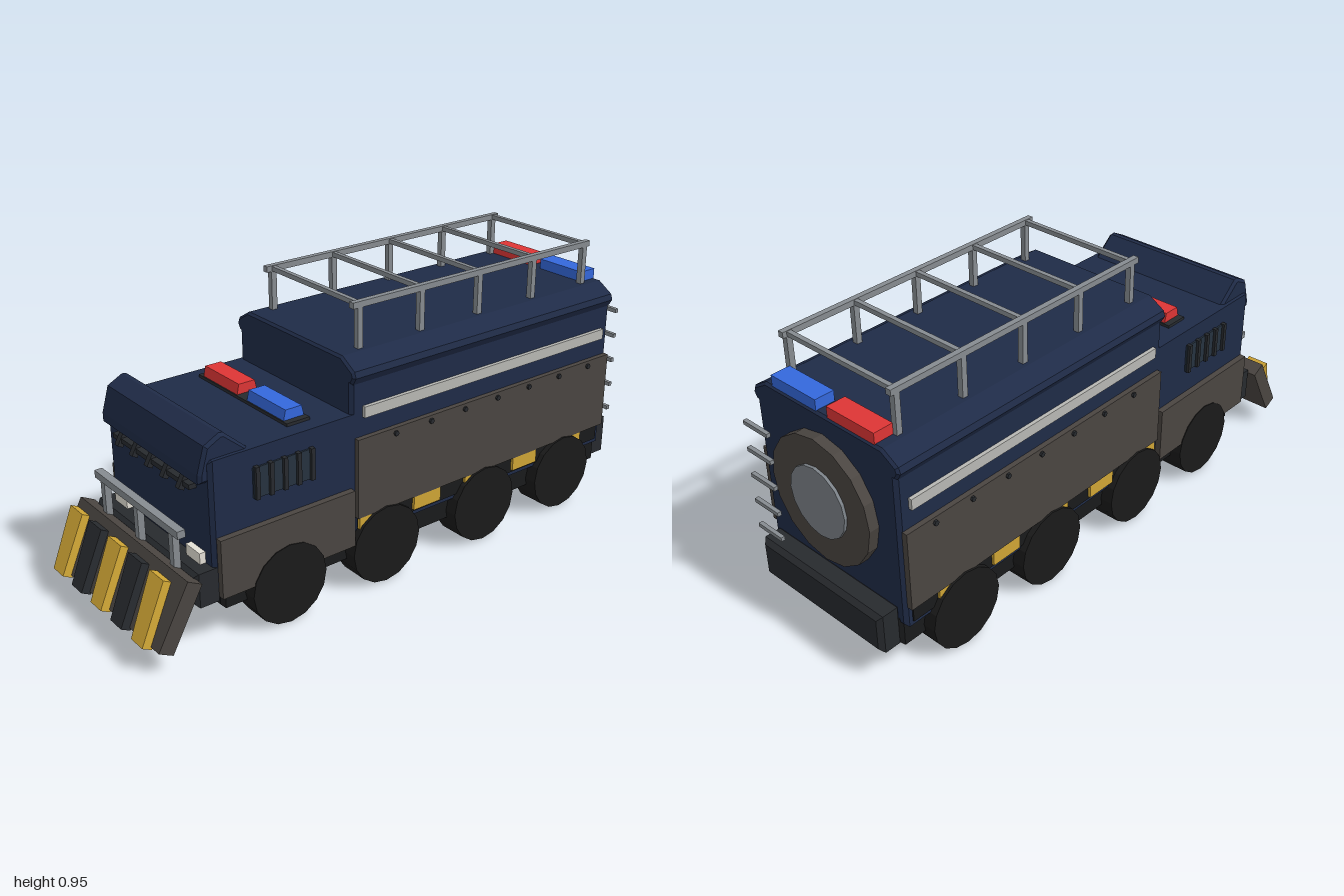
import * as THREE from 'three';

const mat = (color) => new THREE.MeshStandardMaterial({ color, flatShading: true });

export function createModel() {
  const model = new THREE.Group();
  const M = {
    navy: mat(0x1f2b47), armour: mat(0x4a4541), black: mat(0x191a1b), dark: mat(0x272a2e),
    steel: mat(0x868b90), pale: mat(0xb8b8b4), yellow: mat(0xcfa535), red: mat(0xdd3535),
    blue: mat(0x3468dc), lamp: mat(0xe4e0d6), glass: mat(0x26323f), tyre: mat(0x1a1a1a), hub: mat(0x7b8187),
  };
  const add = (name, geo, m, parent = model) => {
    const mesh = new THREE.Mesh(geo, m);
    mesh.name = name;
    parent.add(mesh);
    return mesh;
  };
  // Plain box from its min and max on each axis
  const box = (name, m, x0, x1, y0, y1, z0, z1, parent) => {
    const mesh = add(name, new THREE.BoxGeometry(x1 - x0, y1 - y0, z1 - z0), m, parent);
    mesh.position.set((x0 + x1) / 2, (y0 + y1) / 2, (z0 + z1) / 2);
    return mesh;
  };
  // Outline extruded along z and centred, with chamfer b growing inside the depth
  const prism = (pts, depth, b = 0) => {
    const shape = new THREE.Shape(pts.map((p) => new THREE.Vector2(p[0], p[1])));
    const g = new THREE.ExtrudeGeometry(shape, {
      depth: depth - 2 * b, bevelEnabled: b > 0, bevelSize: b, bevelOffset: -b, bevelThickness: b, bevelSegments: 1,
    });
    return g.translate(0, 0, -(depth - 2 * b) / 2);
  };
  // Side outline given as [z, y], extruded across the width
  const sidePrism = (pts, width, b) => prism(pts, width, b).rotateY(-Math.PI / 2);
  // Box with chamfered edges
  const chamferBox = (name, m, x0, x1, y0, y1, z0, z1, b = 0.012) => {
    const w = (x1 - x0) / 2, h = (y1 - y0) / 2;
    const mesh = add(name, prism([[-w, -h], [w, -h], [w, h], [-w, h]], z1 - z0, b), m);
    mesh.position.set((x0 + x1) / 2, (y0 + y1) / 2, (z0 + z1) / 2);
    return mesh;
  };

  // Hull
  chamferBox('chassis', M.black, -0.28, 0.28, 0.11, 0.22, -0.93, 0.72);
  chamferBox('rearBody', M.navy, -0.3, 0.3, 0.19, 0.76, -0.925, 0.245);
  add('roof', prism([[-0.3, 0.72], [0.3, 0.72], [0.315, 0.745], [0.308, 0.765], [0.25, 0.8],
    [-0.25, 0.8], [-0.308, 0.765], [-0.315, 0.745]], 1.17, 0.008), M.navy).position.z = -0.34;
  chamferBox('cab', M.navy, -0.3, 0.3, 0.19, 0.622, 0.22, 0.755);

  // Windscreen hood with a lamp bar below
  add('hood', sidePrism([[0.6, 0.61], [0.74, 0.55], [0.782, 0.55], [0.782, 0.58], [0.757, 0.665],
    [0.705, 0.692], [0.69, 0.69]], 0.575, 0.01), M.navy);
  box('lampBar', M.dark, -0.225, 0.225, 0.512, 0.528, 0.755, 0.78);
  for (let i = -2; i <= 2; i++) {
    const lamp = box('lampBracket', M.dark, i * 0.09 - 0.01, i * 0.09 + 0.01, 0.497, 0.553, 0.762, 0.782);
    lamp.rotation.x = -0.5;
  }

  // Side armour, windows, stripes and markings
  for (const s of [-1, 1]) {
    const side = (name, m, xa, xb, y0, y1, z0, z1) =>
      box(name, m, Math.min(s * xa, s * xb), Math.max(s * xa, s * xb), y0, y1, z0, z1);
    side('bodyArmour', M.armour, 0.29, 0.318, 0.265, 0.54, -0.915, 0.23);
    side('cabArmour', M.armour, 0.29, 0.322, 0.175, 0.372, 0.245, 0.742);
    side('sideStripe', M.pale, 0.29, 0.313, 0.605, 0.642, -0.885, 0.2);
    side('sill', M.black, 0.27, 0.305, 0.205, 0.268, -0.9, 0.22);
    for (let i = 0; i < 5; i++) {
      const z = 0.22 - i * 0.227;
      side('hazardMark', M.yellow, 0.29, 0.315, 0.215, 0.265, z - 0.115, z);
    }
    for (let i = 0; i < 7; i++) {
      const bolt = add('bolt', new THREE.CylinderGeometry(0.009, 0.009, 0.012, 6).rotateZ(Math.PI / 2), M.dark);
      bolt.position.set(s * 0.32, 0.522, 0.08 - i * 0.148);
    }
    side('cabWindow', M.glass, 0.29, 0.306, 0.46, 0.56, 0.39, 0.61);
    for (let i = 0; i < 5; i++) {
      const z = 0.4 + i * 0.05;
      side('windowBar', M.dark, 0.3, 0.316, 0.458, 0.564, z - 0.007, z + 0.007);
    }
    // Wheels
    for (const z of [0.5, 0.115, -0.32, -0.705]) {
      const wheel = add('wheel', new THREE.CylinderGeometry(0.137, 0.137, 0.1, 16).rotateZ(Math.PI / 2), M.tyre);
      wheel.position.set(s * 0.275, 0.137, z);
    }
    side('headlight', M.lamp, 0.178, 0.255, 0.25, 0.312, 0.74, 0.775);
  }

  // Beacons on the cab and at the rear of the roof
  box('beaconBase', M.dark, -0.245, 0.245, 0.615, 0.632, 0.36, 0.445);
  for (const [s, m] of [[-1, M.red], [1, M.blue]]) {
    const front = add('cabBeacon', sidePrism([[-0.038, 0], [0.038, 0], [0.03, 0.035], [-0.03, 0.035]], 0.195), m);
    front.position.set(s * 0.125, 0.631, 0.403);
    box('roofBeacon', m, s * 0.122 - 0.098, s * 0.122 + 0.098, 0.798, 0.836, -0.92, -0.852);
  }

  // Roof rack
  const rack = new THREE.Group();
  rack.name = 'roofRack';
  model.add(rack);
  for (const s of [-1, 1]) box('rackRail', M.steel, s * 0.226 - 0.01, s * 0.226 + 0.01, 0.932, 0.952, -0.865, 0.185, rack);
  for (let i = 0; i < 5; i++) {
    const z = 0.157 - i * 0.25;
    box('rackCrossbar', M.steel, -0.226, 0.226, 0.934, 0.95, z - 0.008, z + 0.008, rack);
    for (const s of [-1, 1]) box('rackPost', M.steel, s * 0.226 - 0.01, s * 0.226 + 0.01, 0.775, 0.94, z - 0.01, z + 0.01, rack);
  }

  // Front bumper and bull bar
  chamferBox('frontBumper', M.dark, -0.3, 0.3, 0.16, 0.275, 0.73, 0.82);
  box('bullBar', M.steel, -0.25, 0.25, 0.381, 0.406, 0.815, 0.842);
  for (const x of [-0.205, 0, 0.205]) box('bullBarPost', M.steel, x - 0.012, x + 0.012, 0.25, 0.385, 0.817, 0.84);

  // Tilted plough blade with slanted hazard stripes
  const plough = new THREE.Group();
  plough.name = 'plough';
  plough.position.set(0, 0.172, 0.892);
  plough.rotation.x = -0.5;
  model.add(plough);
  box('ploughBlade', M.armour, -0.327, 0.327, -0.114, 0.114, -0.027, 0.027, plough);
  for (let i = 0; i < 5; i++) {
    const stripe = prism([[0.025, -0.122], [0.09, -0.122], [0.065, 0.082], [-0.015, 0.082]], 0.035);
    add('ploughStripe', stripe, i % 2 ? M.dark : M.yellow, plough).position.set(-0.307 + i * 0.125, 0, 0.038);
  }

  // Rear bumper, spare wheel and ladder
  chamferBox('rearBumper', M.dark, -0.27, 0.27, 0.12, 0.258, -1, -0.915, 0.015);
  const spare = add('spareTyre', new THREE.CylinderGeometry(0.215, 0.215, 0.04, 16).rotateX(Math.PI / 2), M.armour);
  spare.position.set(0, 0.52, -0.94);
  const hub = add('spareHub', new THREE.CylinderGeometry(0.12, 0.12, 0.02, 16).rotateX(Math.PI / 2), M.hub);
  hub.position.set(0, 0.52, -0.96);
  for (let i = 0; i < 5; i++) {
    const y = 0.3 + i * 0.095;
    box('ladderRung', M.steel, 0.175, 0.285, y - 0.007, y + 0.007, -0.992, -0.978);
  }
  return model;
}
